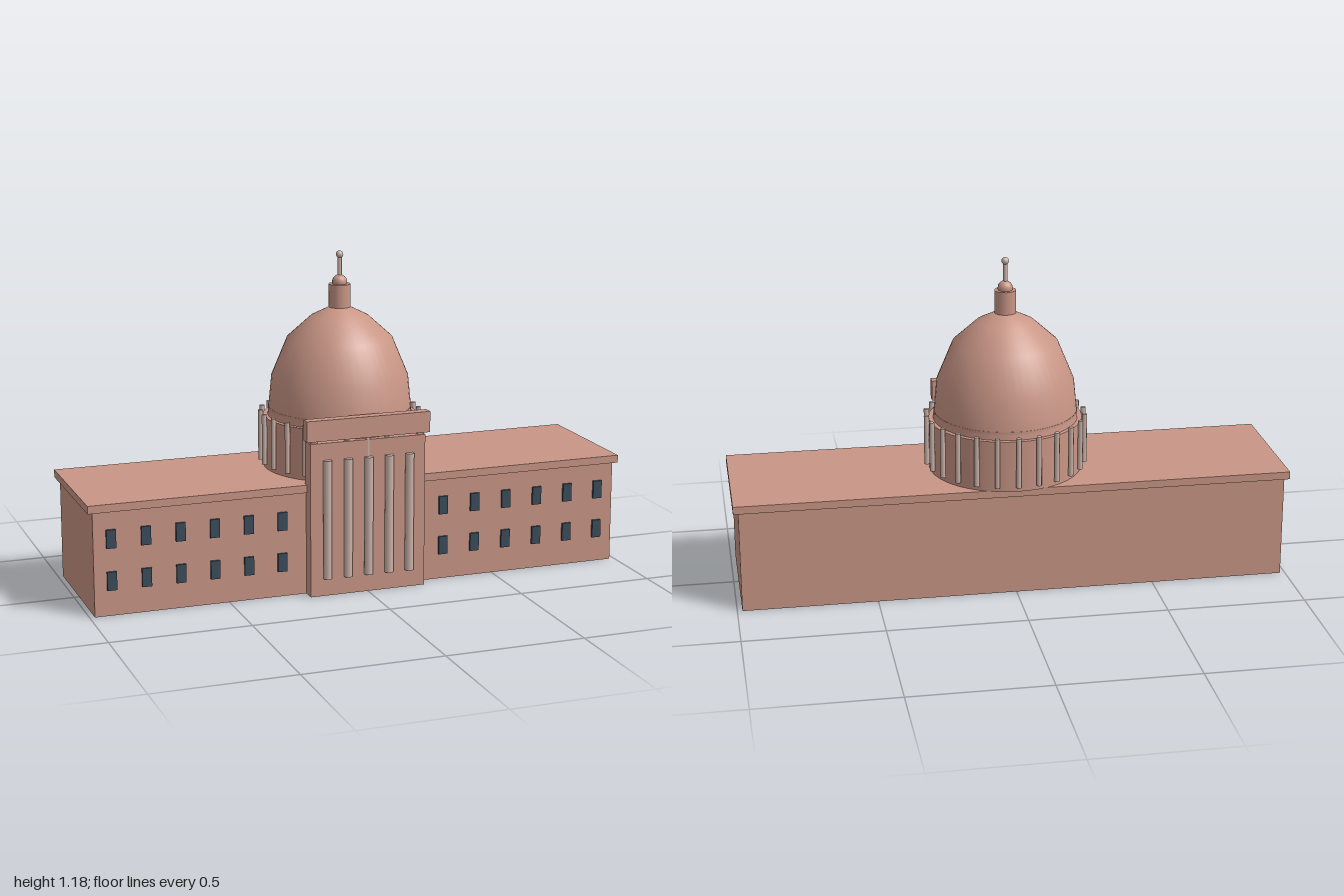
import * as THREE from 'three';

export function createModel() {
  const model = new THREE.Group();
  model.name = 'domedBuilding';

  const stone = new THREE.MeshStandardMaterial({ color: 0xc99686 });
  stone.name = 'terracotta stone';
  const pale = new THREE.MeshStandardMaterial({ color: 0xcbb4aa });
  pale.name = 'pale column stone';
  const glass = new THREE.MeshStandardMaterial({ color: 0x3a4c5c });
  glass.name = 'dark window glass';

  const CZ = -0.01; // centre of the main block and dome

  const add = (name, geometry, material, x, y, z) => {
    const mesh = new THREE.Mesh(geometry, material);
    mesh.name = name;
    mesh.position.set(x, y, z);
    model.add(mesh);
    return mesh;
  };
  // box given by its limits on each axis
  const box = (name, material, x0, x1, y0, y1, z0, z1) =>
    add(name, new THREE.BoxGeometry(x1 - x0, y1 - y0, z1 - z0), material,
      (x0 + x1) / 2, (y0 + y1) / 2, (z0 + z1) / 2);
  // upright cylinder from y0 to y1
  const post = (name, material, r, y0, y1, x, z, sides) =>
    add(name, new THREE.CylinderGeometry(r, r, y1 - y0, sides), material, x, (y0 + y1) / 2, z);

  // Main block and its overhanging roof slab
  box('mainBlock', stone, -0.982, 0.982, 0, 0.372, -0.256, 0.237);
  box('roofSlab', stone, -1, 1, 0.372, 0.4, -0.265, 0.246);

  // Two rows of windows on each wing
  const pane = new THREE.BoxGeometry(0.034, 0.066, 0.009);
  for (const side of [-1, 1]) {
    for (let i = 0; i < 6; i++) {
      for (const y of [0.126, 0.276]) {
        add('window', pane, glass, side * (0.305 + i * 0.123), y, 0.242);
      }
    }
  }

  // Entrance portico with half-sunk columns and a raised beam
  box('portico', stone, -0.215, 0.215, 0, 0.556, 0.227, 0.285);
  box('porticoBeam', stone, -0.23, 0.23, 0.565, 0.64, 0.256, 0.293);
  for (const s of [-1, 1]) {
    box('beamSupport', stone, s * 0.2 - 0.012, s * 0.2 + 0.012, 0.55, 0.57, 0.262, 0.28);
  }
  for (let i = -2; i <= 2; i++) {
    post('porticoColumn', pale, 0.016, 0.065, 0.495, i * 0.077, 0.291, 12);
  }

  // Drum ringed by slim columns
  post('drum', stone, 0.277, 0.4, 0.587, 0, CZ, 48);
  post('domeCollar', stone, 0.259, 0.587, 0.617, 0, CZ, 48);
  for (let i = 0; i < 24; i++) {
    const a = (i / 24) * Math.PI * 2;
    post('drumColumn', pale, 0.0095, 0.419, 0.603, Math.sin(a) * 0.287, CZ + Math.cos(a) * 0.287, 8);
  }

  // Dome
  const profile = [
    [0.261, 0.587], [0.258, 0.617], [0.247, 0.728], [0.19, 0.866],
    [0.104, 0.944], [0.036, 0.978], [0, 0.982],
  ].map(([r, y]) => new THREE.Vector2(r, y));
  add('dome', new THREE.LatheGeometry(profile, 48), stone, 0, 0, CZ);

  // Lantern, ball, spire and tip
  post('lantern', stone, 0.039, 0.976, 1.06, 0, CZ, 16);
  add('lanternBall', new THREE.SphereGeometry(0.027, 16, 12), stone, 0, 1.067, CZ);
  post('spire', pale, 0.008, 1.08, 1.16, 0, CZ, 10);
  add('spireTip', new THREE.SphereGeometry(0.0135, 12, 10), pale, 0, 1.166, CZ);

  return model;
}
